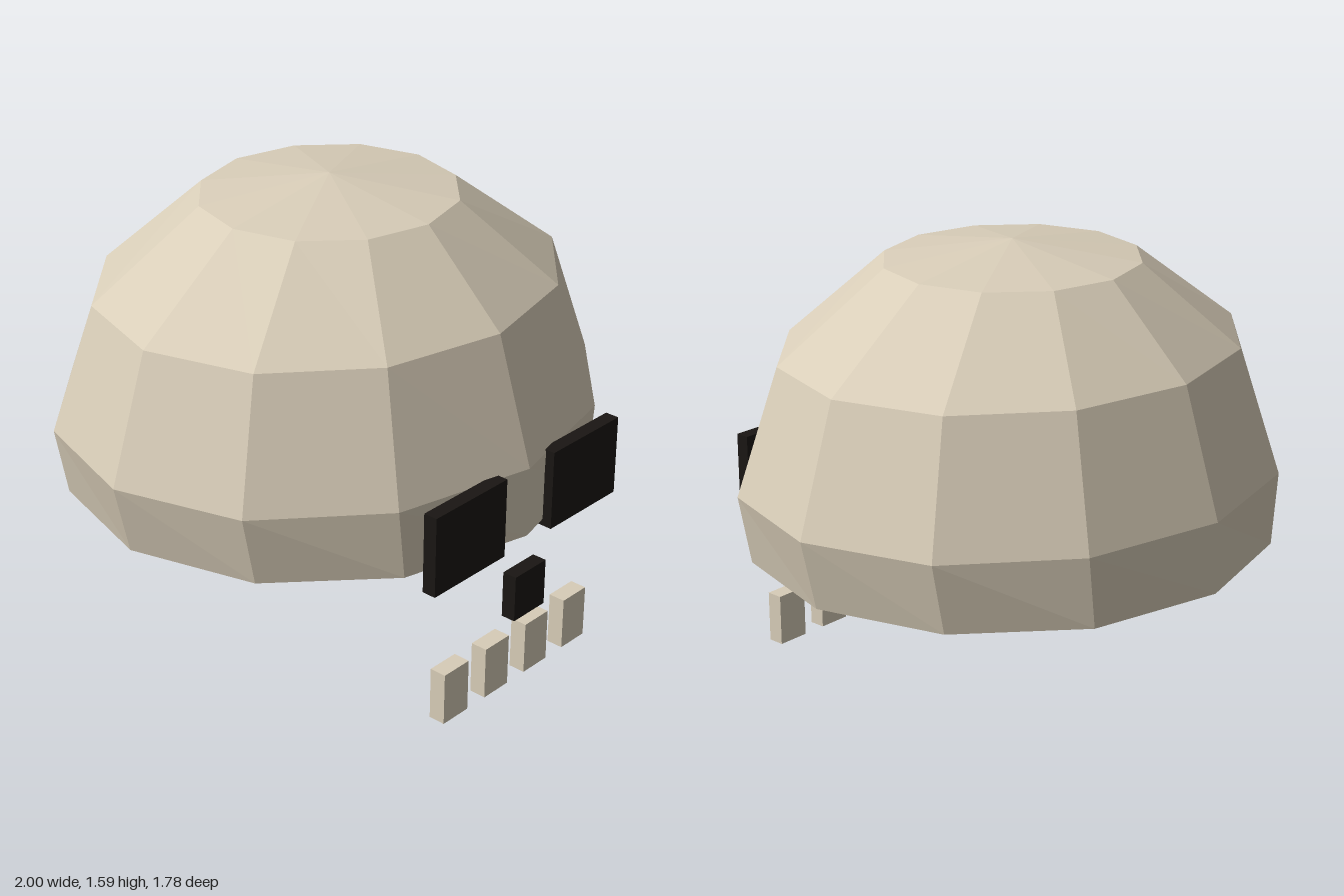
import * as THREE from 'three';

const bone = new THREE.MeshStandardMaterial({ color: 0xd8cdb8, flatShading: true, side: THREE.DoubleSide });
const dark = new THREE.MeshStandardMaterial({ color: 0x1a1613 });

// Box given by its centre and size
function box(name, material, [w, h, d], [x, y, z]) {
  const mesh = new THREE.Mesh(new THREE.BoxGeometry(w, h, d), material);
  mesh.name = name;
  mesh.position.set(x, y, z);
  return mesh;
}

// Open twelve-sided dome: each ring has a height, a half width and a half depth
function createCranium() {
  const rings = [
    [0.56, 0.94, 0.877],
    [0.807, 1, 0.877],
    [1.24, 0.85, 0.737],
    [1.527, 0.45, 0.432],
    [1.59, 0, 0],
  ];
  const profile = rings.map(([y]) => new THREE.Vector2(1, y));
  const geometry = new THREE.LatheGeometry(profile, 12);
  const pos = geometry.attributes.position;
  for (let i = 0; i < pos.count; i++) {
    const [, rx, rz] = rings[i % rings.length];
    pos.setX(i, pos.getX(i) * rx);
    pos.setZ(i, pos.getZ(i) * rz);
  }
  geometry.computeVertexNormals();
  const mesh = new THREE.Mesh(geometry, bone);
  mesh.name = 'cranium';
  mesh.position.z = -0.011;
  return mesh;
}

export function createModel() {
  const model = new THREE.Group();
  model.name = 'skull';
  model.add(createCranium());

  // Eye sockets, mirrored
  for (const [side, s] of [['left', 1], ['right', -1]]) {
    model.add(box(side + 'EyeSocket', dark, [0.345, 0.283, 0.05], [s * 0.293, 0.677, 0.846]));
  }

  // Nose hole
  model.add(box('nose', dark, [0.156, 0.166, 0.052], [0, 0.36, 0.862]));

  // Row of four teeth
  for (let i = 0; i < 4; i++) {
    model.add(box('tooth' + (i + 1), bone, [0.12, 0.187, 0.06], [(i - 1.5) * 0.208, 0.0935, 0.813]));
  }
  return model;
}
